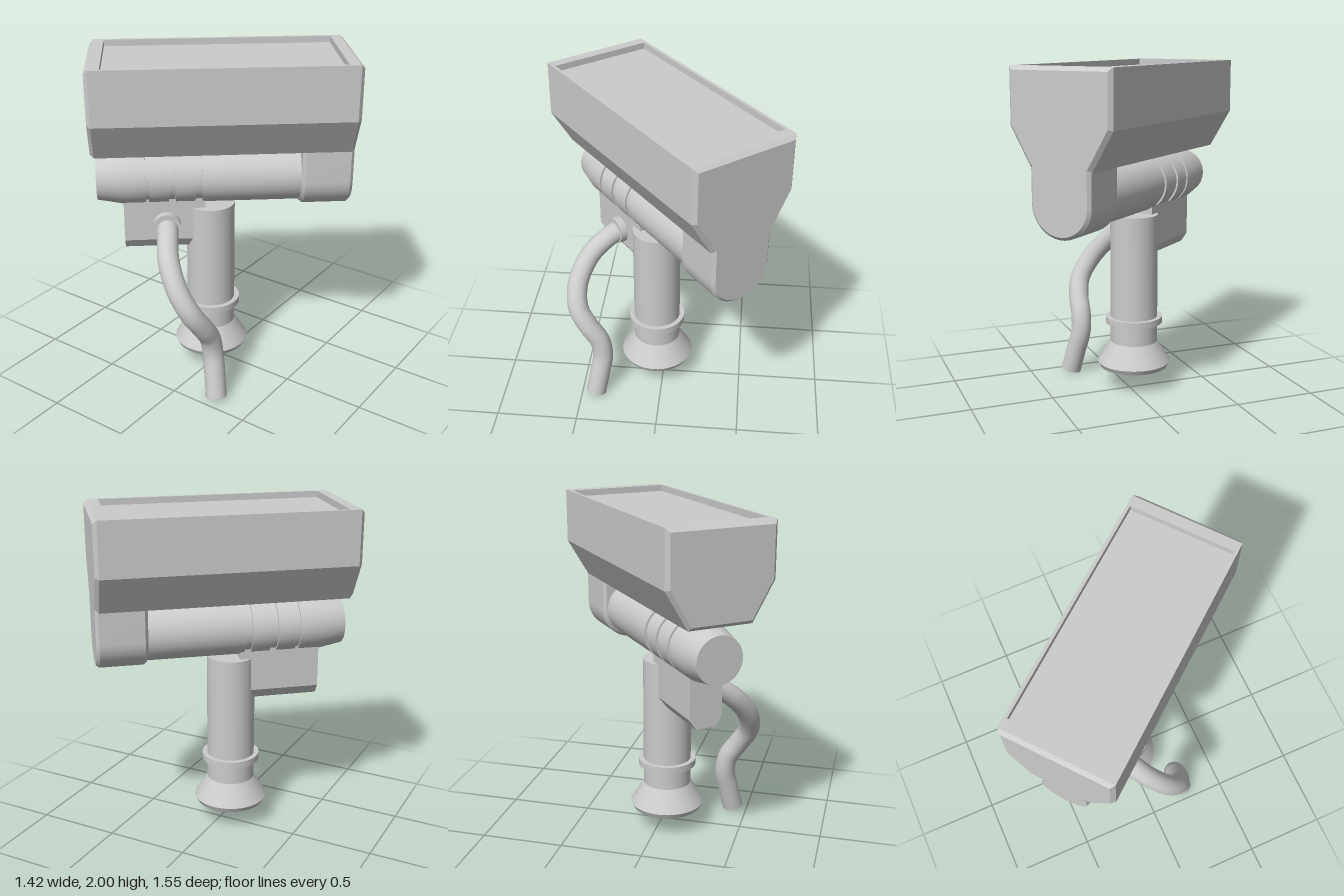
import * as THREE from 'three';
import { toCreasedNormals } from 'three/addons/utils/BufferGeometryUtils.js';

const grey = new THREE.MeshStandardMaterial({ color: 0xcccccc });

function add(parent, name, geometry) {
  const mesh = new THREE.Mesh(geometry, grey);
  mesh.name = name;
  parent.add(mesh);
  return mesh;
}

const v2 = (list) => list.map(([x, y]) => new THREE.Vector2(x, y));

// Half outline (x >= 0, top to bottom) mirrored into a closed shape
function symmetric(half) {
  const other = half.map(([x, y]) => [-x, y]).reverse();
  return new THREE.Shape(v2([...half, ...other]));
}

// Shape extruded from z0 to z1 with chamfered ends, keeping its full outline between
function prism(shape, z0, z1, b) {
  const g = new THREE.ExtrudeGeometry(shape, {
    depth: z1 - z0 - 2 * b, bevelEnabled: b > 0, bevelThickness: b,
    bevelSize: b, bevelOffset: -b, bevelSegments: 1, curveSegments: 24,
  });
  g.translate(0, 0, z0 + b);
  return toCreasedNormals(g, 0.5);
}

const lathe = (profile) => toCreasedNormals(new THREE.LatheGeometry(v2(profile), 48), 0.35);

// Drop the flat top of a geometry so that a recess can be set into it
function openTop(g, y) {
  const p = g.attributes.position, kept = [];
  for (let i = 0; i < p.count; i += 3) {
    if (Math.min(p.getY(i), p.getY(i + 1), p.getY(i + 2)) < y - 0.001) {
      for (let j = i; j < i + 3; j++) kept.push(p.getX(j), p.getY(j), p.getZ(j));
    }
  }
  const out = new THREE.BufferGeometry();
  out.setAttribute('position', new THREE.Float32BufferAttribute(kept, 3));
  return toCreasedNormals(out, 0.3);
}

function rectangle(Type, w, d) {
  return new Type(v2([[-w, -d], [w, -d], [w, d], [-w, d]]));
}

export function createModel() {
  const model = new THREE.Group();
  model.name = 'periscopeHead';

  // Everything but the hose lies along one turned axis
  const body = new THREE.Group();
  body.name = 'turnedBody';
  body.rotation.y = 0.683;
  model.add(body);

  // Housing with tapered underside
  const profile = symmetric([[0.322, 2], [0.322, 1.68], [0.19, 1.455]]);
  add(body, 'housing', openTop(prism(profile, -0.752, 0.752, 0.022), 2));

  // Raised rim and sunken top panel
  const frame = rectangle(THREE.Shape, 0.322, 0.73);
  frame.holes.push(rectangle(THREE.Path, 0.303, 0.667));
  const rim = new THREE.ExtrudeGeometry(frame, { depth: 0.04, bevelEnabled: false });
  rim.rotateX(-Math.PI / 2).translate(0, 1.96, 0);
  add(body, 'housingRim', rim);
  const panel = new THREE.PlaneGeometry(0.62, 1.35);
  panel.rotateX(-Math.PI / 2).translate(0, 1.962, 0);
  add(body, 'topPanel', panel);

  // Rounded neck joining housing and arm
  const neck = new THREE.Shape();
  neck.moveTo(0.19, 1.5);
  neck.lineTo(-0.19, 1.5);
  neck.lineTo(-0.19, 1.27);
  neck.absarc(0, 1.27, 0.19, Math.PI, 2 * Math.PI, false);
  add(body, 'neck', prism(neck, 0.455, 0.752, 0.018));

  // Horizontal arm with three grooves and a tapered rear end
  const R = 0.167, r = 0.155;
  const armProfile = [[0, -0.73], [0.14, -0.73], [R, -0.58]];
  for (const [a, b] of [[-0.45, -0.43], [-0.315, -0.275], [-0.16, -0.12]]) {
    armProfile.push([R, a], [r, a], [r, b], [R, b]);
  }
  armProfile.push([R, 0.5], [0, 0.5]);
  const arm = add(body, 'arm', lathe(armProfile));
  arm.rotation.x = Math.PI / 2;
  arm.position.y = 1.27;

  // Connector box under the arm
  const box = symmetric([[0.1, 1.18], [0.1, 0.89], [0.06, 0.83]]);
  add(body, 'connectorBox', prism(box, -0.58, -0.1, 0));

  // Hose fitting on the side of the box
  const fitting = add(body, 'hoseFitting', new THREE.CylinderGeometry(0.083, 0.083, 0.05, 32));
  fitting.rotation.z = Math.PI / 2;
  fitting.position.set(-0.12, 0.985, -0.33);

  // Post with collar and flared foot
  const post = add(model, 'post', lathe([
    [0, 0.13], [0.21, 0.13], [0.225, 0.16], [0.145, 0.29], [0.145, 0.41],
    [0.175, 0.41], [0.175, 0.45], [0.145, 0.45], [0.145, 1.09], [0, 1.09],
  ]));
  post.position.set(-0.045, 0, -0.047);

  // Hanging hose with closed lower end
  const path = new THREE.CatmullRomCurve3([
    [-0.26, 0.99, -0.21], [-0.36, 0.955, -0.13], [-0.46, 0.87, -0.05], [-0.525, 0.73, 0.06],
    [-0.515, 0.6, 0.145], [-0.45, 0.49, 0.18], [-0.385, 0.39, 0.187], [-0.365, 0.28, 0.195],
    [-0.385, 0.15, 0.222], [-0.41, 0.015, 0.25],
  ].map((p) => new THREE.Vector3(...p)));
  add(model, 'hose', new THREE.TubeGeometry(path, 80, 0.063, 24));
  const cap = add(model, 'hoseEnd', new THREE.CircleGeometry(0.063, 24));
  cap.position.copy(path.getPoint(1));
  cap.quaternion.setFromUnitVectors(new THREE.Vector3(0, 0, 1), path.getTangent(1));

  return model;
}
